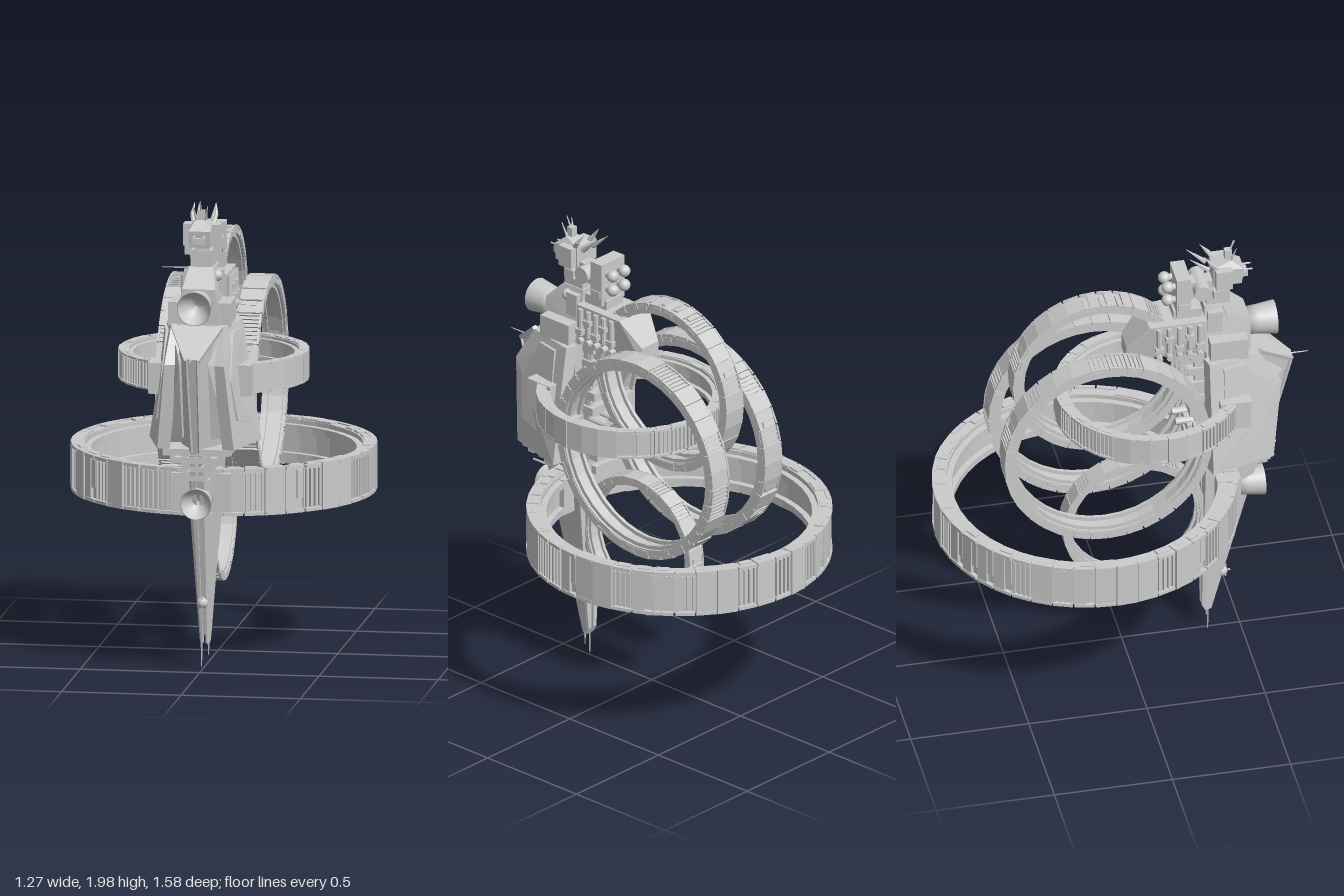
import * as THREE from 'three';
import { mergeGeometries } from 'three/addons/utils/BufferGeometryUtils.js';
import { ConvexGeometry } from 'three/addons/geometries/ConvexGeometry.js';

const flat = new THREE.MeshStandardMaterial({ color: 0xcccccc, flatShading: true });
const smooth = new THREE.MeshStandardMaterial({ color: 0xcccccc, side: THREE.DoubleSide });

// small seeded generator for panel variation
let seed = 7;
const rnd = () => (seed = (seed * 16807) % 2147483647) / 2147483647;

const box = (w, h, d, x, y, z) => new THREE.BoxGeometry(w, h, d).translate(x, y, z);
const convex = (pts) => new ConvexGeometry(pts.map((p) => new THREE.Vector3(...p)));
const flip = (pts) => pts.map(([x, y, z]) => [-x, y, z]);

// rod or spike between two points
function rod(a, b, r0, r1 = r0, sides = 6) {
  const A = new THREE.Vector3(...a), B = new THREE.Vector3(...b), d = B.clone().sub(A);
  const q = new THREE.Quaternion().setFromUnitVectors(new THREE.Vector3(0, 1, 0), d.clone().normalize());
  return new THREE.CylinderGeometry(r1, r0, d.length(), sides)
    .applyQuaternion(q).translate(...A.add(B).multiplyScalar(0.5).toArray());
}

export function createModel() {
  seed = 7;
  const model = new THREE.Group();
  const add = (name, geos, mat = flat) => {
    const list = [].concat(geos).map((g) => {
      const n = g.index ? g.toNonIndexed() : g;
      n.deleteAttribute('uv');
      return n;
    });
    const mesh = new THREE.Mesh(mergeGeometries(list), mat);
    mesh.name = name;
    model.add(mesh);
    return mesh;
  };

  // Armoured ring around the y axis: channelled band, panels, ribs and edge rails
  function ring(name, R, r, h, n, pos, upright) {
    const t = R - r, o = R - t * 0.22, half = h / 2;
    const profile = [
      [o, -half * 0.94], [o, half * 0.94], [r + t * 0.3, half * 0.94], [r + t * 0.3, half * 0.75], [r, half * 0.75],
      [r, half * 0.45], [r + t * 0.3, half * 0.45], [r + t * 0.3, -half * 0.45], [r, -half * 0.45],
      [r, -half * 0.75], [r + t * 0.3, -half * 0.75], [r + t * 0.3, -half * 0.94], [o, -half * 0.94],
    ].map((p) => new THREE.Vector2(...p));
    const geos = [new THREE.LatheGeometry(profile, n)];
    for (let i = 0; i < n; i++) {
      const phi = ((i + 0.5) * 2 * Math.PI) / n, chord = 2 * R * Math.sin(Math.PI / n);
      const c = o * Math.cos(Math.PI / n), out = R - c, kind = rnd();
      const put = (w, hh, d, x, y, z) => geos.push(box(w, hh, d, x, y, z).rotateY(phi));
      if (kind < 0.45) { // broad panel wrapping the edges
        put(chord * 0.97, h, t * 0.62, 0, 0, R - t * 0.31 - rnd() * t * 0.08);
      } else if (kind < 0.8) { // ribbed bay
        put(chord, h * 0.82, out * 0.5, 0, 0, c);
        for (let k = -1.5; k < 2; k++) put(chord * 0.1, h * 0.8, out * 0.8, k * chord * 0.25, 0, c + out * 0.4);
      } else { // split plates
        put(chord * 0.55, h * 0.9, out * 0.8, -chord * 0.2, 0, c + out * 0.3);
        put(chord * 0.3, h * 0.6, out * 0.7, chord * 0.28, h * 0.1, c + out * 0.2);
      }
      for (const s of [-1, 1]) {
        put(chord * 0.9, h * 0.07, out * 0.9, 0, s * half * 0.92, c + out * 0.45);
        if (rnd() > 0.4) put(chord * 0.6, h * 0.06, t * 0.35, (rnd() - 0.5) * chord * 0.3, s * half * 0.95, r + t * 0.55);
      }
    }
    const m = add(name, geos);
    if (upright) m.rotation.z = Math.PI / 2;
    m.position.set(...pos);
  }
  ring('largeLevelRing', 0.635, 0.55, 0.2, 44, [0, 0.755, -0.155]);
  ring('smallLevelRing', 0.395, 0.335, 0.125, 32, [0, 1.235, 0.115]);
  ring('leftUprightRing', 0.44, 0.385, 0.105, 36, [0.16, 1.125, -0.1], true);
  ring('rightUprightRing', 0.44, 0.385, 0.105, 36, [-0.16, 1.125, -0.1], true);
  ring('upperUprightRing', 0.37, 0.32, 0.105, 32, [0, 1.4, -0.1], true);
  ring('lowerUprightRing', 0.305, 0.265, 0.085, 28, [0, 0.615, 0.05], true);

  // Central keel with its forward ridge
  const keelHalf = [
    [0.1, 1.47, 0.34], [0.09, 1.47, 0.56], [0.02, 1.36, 0.72], [0.08, 1.36, 0.56],
    [0.015, 0.94, 0.61], [0.08, 0.94, 0.47], [0.1, 0.94, 0.34],
  ];
  add('keel', convex([...keelHalf, ...flip(keelHalf)]));

  // Lower spike: two blades either side of a recessed core
  const blade = [
    [0.006, 0.96, 0.34], [0.09, 0.96, 0.34], [0.03, 0.96, 0.6], [0.006, 0.96, 0.6],
    [0.006, 0.13, 0.335], [0.024, 0.13, 0.335], [0.006, 0.1, 0.35], [0.022, 0.1, 0.35],
    [0.006, 0.1, 0.378], [0.013, 0.1, 0.378],
  ];
  add('spikeBlades', [convex(blade), convex(flip(blade))]);
  const core = [[0.01, 0.96, 0.35], [0.01, 0.96, 0.58], [0.01, 0.14, 0.345], [0.01, 0.14, 0.37]];
  add('spikeCore', convex([...core, ...flip(core)]));

  // Canted side armour, raised plates, front strakes and ring clamps
  for (const s of [1, -1]) {
    const side = s > 0 ? 'left' : 'right';
    const m = (pts) => convex(s > 0 ? pts : flip(pts));
    const face = [[0.155, 1.47, 0.34], [0.11, 1.47, 0.56], [0.125, 1.32, 0.65], [0.16, 0.96, 0.61], [0.235, 0.96, 0.34]];
    add(side + 'Armour', m([...face, ...face.map(([x, y, z]) => [x - 0.05, y, z - 0.015])]));
    const plate = [[0.162, 1.44, 0.4], [0.142, 1.44, 0.5], [0.147, 1.25, 0.6], [0.172, 1.08, 0.57], [0.207, 1.04, 0.4]];
    add(side + 'ArmourPlate', m([...plate, ...plate.map(([x, y, z]) => [x - 0.04, y, z])]));
    const inner = [[0.085, 1.4, 0.6], [0.06, 1.33, 0.67], [0.06, 1.0, 0.58], [0.125, 1.0, 0.56], [0.11, 1.3, 0.6]];
    add(side + 'FrontPlate', m([...inner, ...inner.map(([x, y, z]) => [x, y, z - 0.12])]));
    add(side + 'FrontStrakes', [
      rod([s * 0.1, 1.47, 0.565], [s * 0.022, 1.35, 0.715], 0.014, 0.012, 4),
      rod([s * 0.022, 1.36, 0.712], [s * 0.016, 0.95, 0.608], 0.012, 0.01, 4),
    ]);
    add(side + 'RingClamps', [
      box(0.1, 0.13, 0.13, s * 0.165, 1.235, 0.44),
      box(0.06, 0.1, 0.1, s * 0.16, 1.125, 0.32),
      box(0.07, 0.16, 0.1, s * 0.09, 0.755, 0.43),
    ]);
  }

  // Waist decks between keel and spike
  add('waistDecks', [
    box(0.28, 0.028, 0.15, 0, 0.945, 0.525), box(0.2, 0.025, 0.13, 0, 0.91, 0.53),
    box(0.13, 0.04, 0.1, 0, 0.88, 0.53), box(0.08, 0.05, 0.08, 0, 0.845, 0.53),
    ...[-0.1, -0.05, 0.05, 0.1].map((x) => box(0.02, 0.05, 0.03, x, 0.92, 0.58)),
    rod([0.03, 0.89, 0.58], [0.03, 0.89, 0.66], 0.004), rod([-0.03, 0.87, 0.56], [-0.03, 0.87, 0.64], 0.004),
    rod([0.05, 0.83, 0.56], [0.05, 0.83, 0.62], 0.005),
  ]);

  // Two flared dish muzzles
  const dish = (name, R, y, z, len) => {
    const pts = [[0, 0], [R * 0.8, 0], [R * 0.86, len * 0.4], [R, len], [R * 0.94, len],
      [R * 0.75, len * 0.7], [R * 0.4, len * 0.5], [0, len * 0.42]].map((p) => new THREE.Vector2(...p));
    const mesh = add(name, new THREE.LatheGeometry(pts, 32).rotateX(Math.PI / 2), smooth);
    mesh.position.set(0, y, z);
  };
  dish('upperDish', 0.072, 1.56, 0.52, 0.13);
  dish('lowerDish', 0.066, 0.727, 0.48, 0.12);

  // Tower shoulders and body
  const tower = [[0.09, 1.47, 0.53], [0.07, 1.62, 0.53], [0.05, 1.7, 0.45], [0.05, 1.7, 0.34], [0.09, 1.47, 0.34]];
  add('tower', [convex([...tower, ...flip(tower)]), box(0.26, 0.1, 0.16, 0, 1.51, 0.43), box(0.16, 0.1, 0.06, 0, 1.63, 0.38)]);
  const tail = [[0.09, 1.65, 0.34], [0.09, 1.65, 0.1], [0.05, 1.54, 0.01], [0.05, 1.47, 0.01], [0.09, 1.49, 0.34]];
  add('rearHousing', convex([...tail, ...flip(tail)]));

  // Piping and ribs along the housing
  const pipes = [];
  for (const s of [-1, 1]) for (let i = 0; i < 5; i++) {
    const z = 0.14 + i * 0.043;
    pipes.push(rod([s * 0.095, 1.52, z], [s * 0.095, 1.64, z], 0.012, 0.012, 8));
    pipes.push(box(0.025, 0.022, 0.035, s * 0.1, 1.54 + (i % 2) * 0.05, z));
    pipes.push(rod([s * 0.08, 1.495, z], [s * 0.11, 1.495, z], 0.014, 0.014, 8));
  }
  add('housingPipes', pipes);

  // Back column with twin tanks
  add('backColumn', [box(0.14, 0.19, 0.06, 0, 1.765, 0.25), box(0.1, 0.04, 0.12, 0, 1.67, 0.27), box(0.15, 0.03, 0.05, 0, 1.72, 0.25)]);
  const tanks = [];
  for (const x of [-0.035, 0.035]) for (const y of [1.81, 1.745]) {
    tanks.push(new THREE.SphereGeometry(0.026, 16, 12).translate(x, y, 0.188));
    tanks.push(rod([x, y, 0.19], [x, y, 0.23], 0.014, 0.014, 10));
  }
  add('tanks', tanks, smooth);

  // Head: neck, cabin, drum, side pods, horns and aerials
  add('neck', [box(0.09, 0.1, 0.1, 0, 1.72, 0.4), box(0.06, 0.08, 0.16, 0, 1.77, 0.36)]);
  const cabin = [[0.045, 1.79, 0.5], [0.045, 1.86, 0.51], [0.025, 1.9, 0.46], [0.045, 1.88, 0.38], [0.045, 1.79, 0.38]];
  add('cabin', [convex([...cabin, ...flip(cabin)]), box(0.05, 0.025, 0.04, 0, 1.82, 0.51), box(0.03, 0.04, 0.03, 0, 1.92, 0.45)]);
  add('drum', rod([-0.075, 1.78, 0.33], [0.075, 1.78, 0.33], 0.036, 0.036, 20));
  const trim = [];
  for (const s of [-1, 1]) {
    trim.push(box(0.035, 0.09, 0.07, s * 0.06, 1.835, 0.42), box(0.03, 0.04, 0.05, s * 0.06, 1.765, 0.4));
    trim.push(rod([s * 0.04, 1.87, 0.4], [s * 0.05, 1.91, 0.37], 0.012, 0.009), rod([s * 0.05, 1.91, 0.37], [s * 0.045, 1.95, 0.34], 0.009, 0.001));
    trim.push(rod([s * 0.03, 1.87, 0.36], [s * 0.035, 1.94, 0.28], 0.012, 0.001));
    trim.push(rod([s * 0.02, 1.9, 0.46], [s * 0.03, 1.96, 0.48], 0.006, 0.002));
    trim.push(rod([s * 0.02, 1.84, 0.5], [s * 0.02, 1.84, 0.55], 0.004));
  }
  trim.push(rod([0, 1.92, 0.45], [0, 1.98, 0.48], 0.005, 0.002));
  trim.push(rod([-0.05, 1.69, 0.42], [-0.17, 1.69, 0.42], 0.004, 0.002));
  add('headTrim', trim);
  add('sideBulb', new THREE.SphereGeometry(0.024, 14, 10).translate(0.06, 1.66, 0.42), smooth);

  // Spine machinery behind the keel
  const spine = [box(0.1, 0.62, 0.04, 0, 1.16, 0.33)];
  for (let i = 0; i < 9; i++) {
    const y = 0.88 + i * 0.07;
    spine.push(box(0.06 + rnd() * 0.09, 0.035, 0.05 + rnd() * 0.05, 0, y, 0.31));
  }
  for (const s of [-1, 1]) {
    spine.push(rod([s * 0.035, 1.11, 0.32], [s * 0.035, 1.11, 0.22], 0.016, 0.016, 10));
    spine.push(rod([s * 0.04, 0.86, 0.32], [s * 0.04, 1.48, 0.3], 0.009));
  }
  spine.push(box(0.05, 0.08, 0.08, 0, 1.42, 0.28));
  add('spineMachinery', spine);

  // Nose lamp and aerials
  add('noseLamp', new THREE.SphereGeometry(0.024, 14, 10).translate(0, 0.28, 0.425), smooth);
  add('aerials', [
    rod([0, 0.25, 0.44], [0, 0.31, 0.44], 0.004), rod([0, 0.28, 0.42], [0, 0.28, 0.46], 0.004),
    rod([-0.013, 0.12, 0.362], [-0.013, 0, 0.362], 0.005, 0.002),
    rod([0.016, 0.12, 0.362], [0.016, 0.05, 0.362], 0.005, 0.002),
    rod([0, 1.36, 0.7], [0, 1.36, 0.79], 0.004, 0.002),
  ]);
  return model;
}
